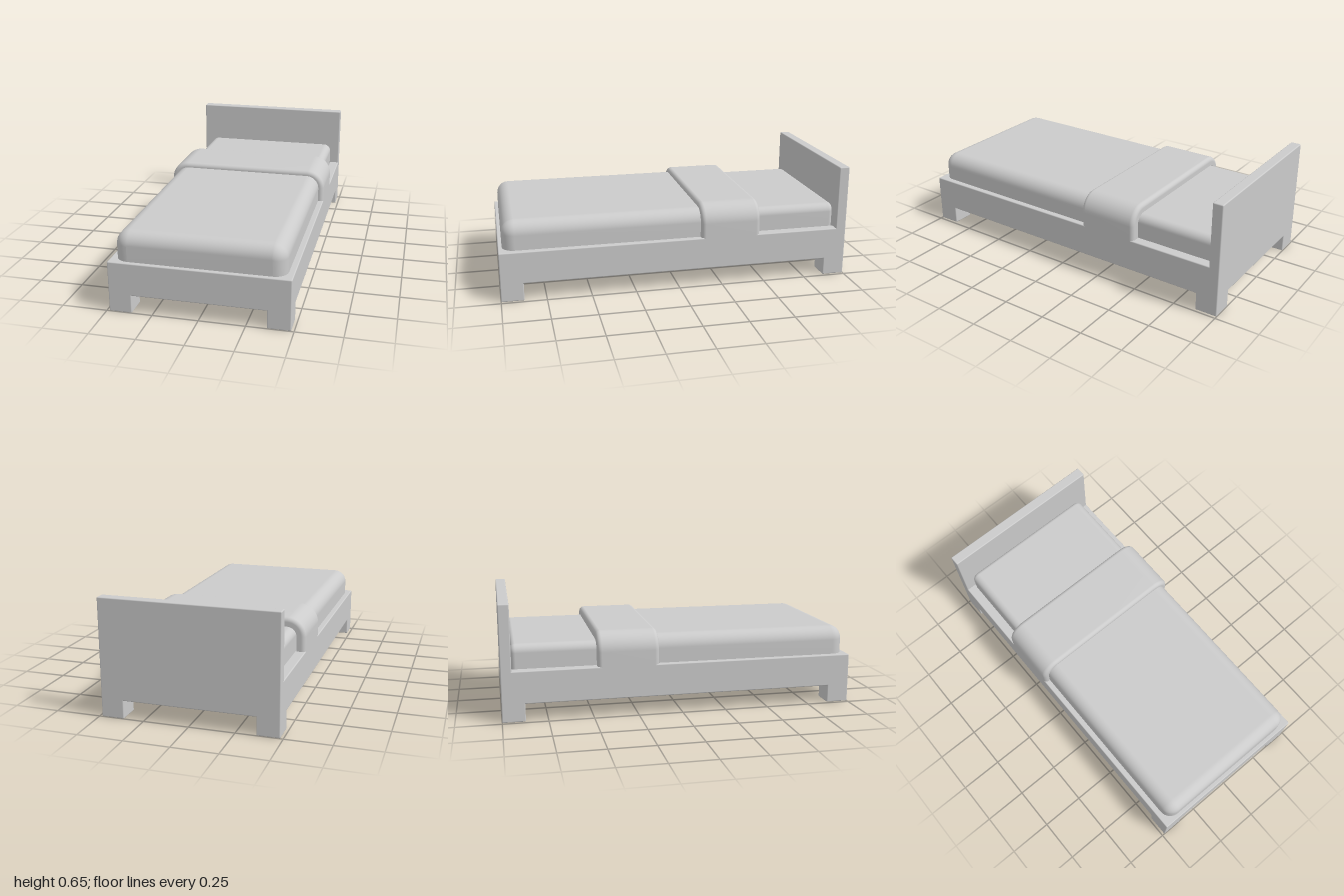
import * as THREE from 'three';
import { RoundedBoxGeometry } from 'three/addons/geometries/RoundedBoxGeometry.js';

const W = 0.485;       // half width of the frame
const RAIL_TOP = 0.283;
const BASE = 0.27;     // bottom edge of the bedding, just inside the frame

const wood = new THREE.MeshStandardMaterial({ color: 0xcccccc });
const cloth = new THREE.MeshStandardMaterial({ color: 0xcccccc, side: THREE.DoubleSide });

// Softly bevelled box given by its min and max corners
function block(name, x0, x1, y0, y1, z0, z1) {
  const geo = new RoundedBoxGeometry(x1 - x0, y1 - y0, z1 - z0, 2, 0.006);
  const mesh = new THREE.Mesh(geo, wood);
  mesh.name = name;
  mesh.position.set((x0 + x1) / 2, (y0 + y1) / 2, (z0 + z1) / 2);
  return mesh;
}

// Arch from left to right: straight sides, rounded shoulders, flat top
function arch(w, top, r, z) {
  const pts = [[-w, BASE]];
  const steps = 10;
  for (const side of [-1, 1]) {
    for (let k = 0; k <= steps; k++) {
      const t = (side < 0 ? k : steps - k) / steps * Math.PI / 2;
      pts.push([side * (w - r + r * Math.cos(t)), top - r + r * Math.sin(t)]);
    }
  }
  pts.push([w, BASE]);
  return pts.map(([x, y]) => [x, y, z]);
}

// Skin a list of equal-length cross-sections running towards +z
function skin(name, rows) {
  const n = rows[0].length;
  const index = [];
  for (let i = 0; i < rows.length - 1; i++) {
    for (let j = 0; j < n - 1; j++) {
      const a = i * n + j, b = a + n;
      index.push(a, b, a + 1, b, b + 1, a + 1);
    }
  }
  const geo = new THREE.BufferGeometry();
  geo.setAttribute('position', new THREE.Float32BufferAttribute(rows.flat(2), 3));
  geo.setIndex(index);
  geo.computeVertexNormals();
  const mesh = new THREE.Mesh(geo, cloth);
  mesh.name = name;
  return mesh;
}

// Draped cover; each end is open (0) or rounded by a radius.
// A rounded end is closed down to the base, or by a narrow lip if one is given.
function cover(name, { w, top, r, z0, z1, back = 0, front = 0, lip = 0 }) {
  const section = (inset, z) => arch(w - inset, top - inset, Math.max(r - inset, 0.004), z);
  const end = (z, radius, dir) => {
    if (!radius) return [section(0, z)];
    const rows = [];
    if (lip) rows.push(section(lip, z));
    else rows.push(section(radius, z).map(([x]) => [x, BASE, z]));
    for (let k = 0; k <= 8; k++) {
      const t = k / 8 * Math.PI / 2;
      rows.push(section(radius * (1 - Math.sin(t)), z + dir * radius * (1 - Math.cos(t))));
    }
    return rows;
  };
  return skin(name, [...end(z0, back, 1), ...end(z1, front, -1).reverse()]);
}

export function createModel() {
  const bed = new THREE.Group();
  bed.name = 'bed';

  // Frame
  const frame = new THREE.Group();
  frame.name = 'frame';
  frame.add(
    block('headboard', -W, W, 0.1, 0.65, -1, -0.94),
    block('footRail', -W, W, 0.1, RAIL_TOP, 0.94, 1)
  );
  for (const s of [-1, 1]) {
    const side = s < 0 ? 'right' : 'left';
    const inner = s * (W - 0.06), legInner = s * 0.36;
    frame.add(block(side + 'SideRail', Math.min(s * W, inner), Math.max(s * W, inner),
      0.1, RAIL_TOP, -1, 1));
    for (const [end, z0, z1] of [['Front', 0.873, 1], ['Back', -1, -0.873]]) {
      frame.add(block(side + end + 'Leg', Math.min(s * W, legInner), Math.max(s * W, legInner),
        0, 0.275, z0, z1));
    }
  }
  bed.add(frame);

  // Bedding, hollow underneath
  const bedding = new THREE.Group();
  bedding.name = 'bedding';
  bedding.add(
    cover('mattress', { w: 0.428, top: 0.416, r: 0.045, z0: -0.94, z1: -0.4, back: 0.025 }),
    cover('blanket', { w: 0.453, top: 0.441, r: 0.075, z0: -0.44, z1: 0.978, front: 0.07 }),
    cover('blanketFold', { w: W, top: 0.47, r: 0.105, z0: -0.475, z1: -0.13,
      back: 0.025, front: 0.025, lip: 0.05 })
  );
  bed.add(bedding);
  return bed;
}
